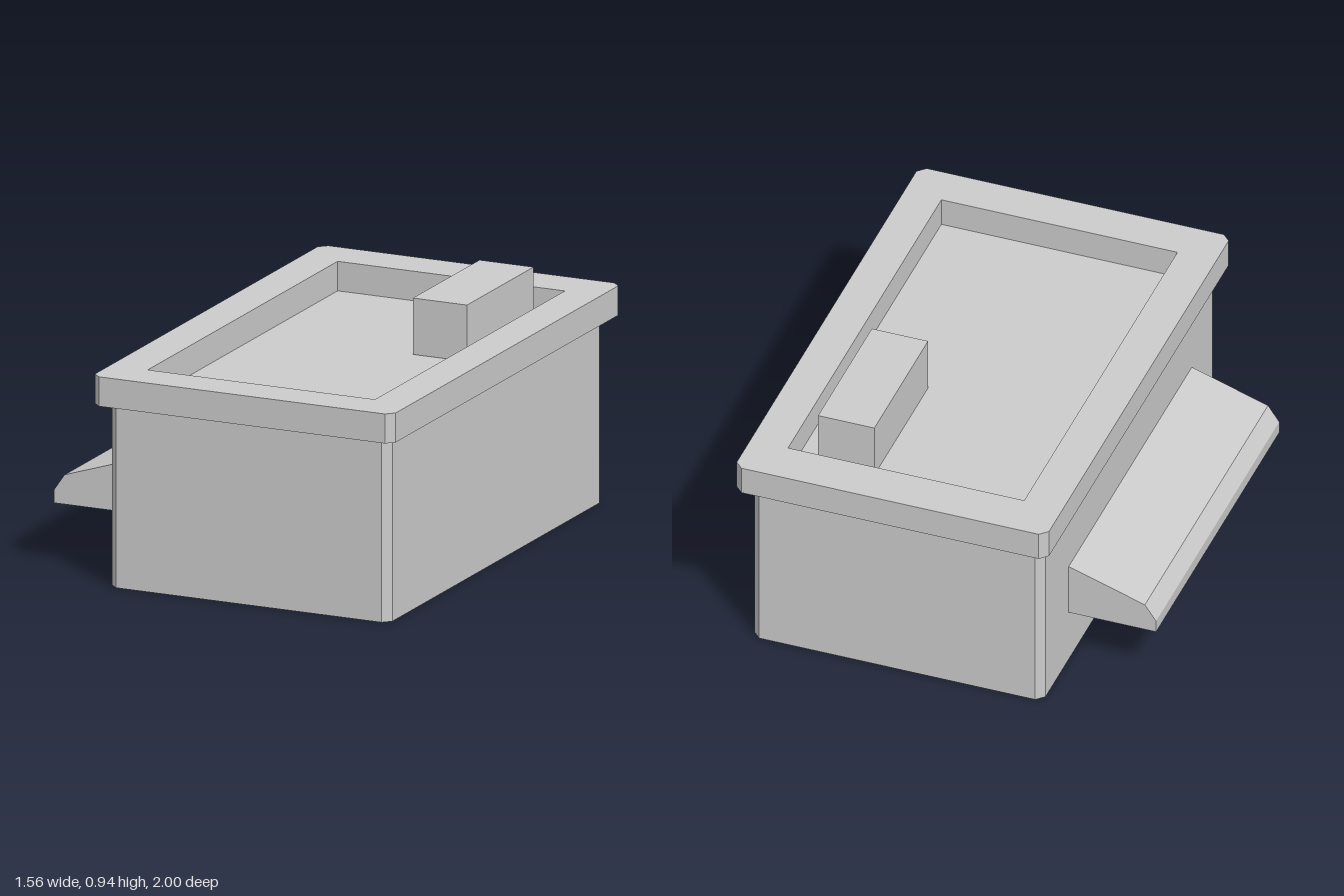
import * as THREE from 'three';

const material = new THREE.MeshStandardMaterial({ color: 0xcccccc, flatShading: true, side: THREE.DoubleSide });

// Rectangle with cut corners at height y, counter-clockwise seen from above
function loop(x0, x1, z0, z1, cut, y) {
  return [
    [x1, z1 - cut], [x1, z0 + cut], [x1 - cut, z0], [x0 + cut, z0],
    [x0, z0 + cut], [x0, z1 - cut], [x0 + cut, z1], [x1 - cut, z1],
  ].map(([x, z]) => new THREE.Vector3(x, y, z));
}

// Skin a list of cross-sections; zero-area triangles and the side "skip" are left out
function skin(sections, closed = true, skip = -1) {
  const points = [];
  const add = (...t) => { if (new THREE.Triangle(...t).getArea() > 1e-7) points.push(...t); };
  for (let s = 0; s < sections.length - 1; s++) {
    const a = sections[s], b = sections[s + 1], n = a.length;
    for (let i = 0; i < (closed ? n : n - 1); i++) {
      if (i === skip) continue;
      const j = (i + 1) % n;
      add(a[i], a[j], b[j]);
      add(a[i], b[j], b[i]);
    }
  }
  const geometry = new THREE.BufferGeometry().setFromPoints(points);
  geometry.computeVertexNormals();
  return geometry;
}

function rectangle(PathType, u0, u1, v0, v1) {
  return new PathType([[u0, v0], [u1, v0], [u1, v1], [u0, v1]].map(p => new THREE.Vector2(...p)));
}

export function createModel() {
  const model = new THREE.Group();
  const add = (name, geometry, parent = model) => {
    const mesh = new THREE.Mesh(geometry, material);
    mesh.name = name;
    parent.add(mesh);
    return mesh;
  };

  const rimY = 0.72, topY = 0.835, cut = 0.03;
  const body = [-0.43, 0.735, -0.93, 0.935];
  const lid = [-0.47, 0.78, -1, 1];
  const basin = [-0.315, 0.63, -0.82, 0.835];
  const shelfZ = [-0.65, 0.68], shelfY = [0.22, 0.435];

  // Thin walls, open underneath; the shelf side is a separate panel
  add('bodyWalls', skin([loop(...body, cut, 0), loop(...body, cut, rimY)], true, 4));

  // Shelf side panel with the slot leading into the hollow shelf
  const panel = rectangle(THREE.Shape, body[2] + cut, body[3] - cut, 0, rimY);
  panel.holes.push(rectangle(THREE.Path, ...shelfZ, ...shelfY));
  add('slottedWall', new THREE.ShapeGeometry(panel).rotateY(-Math.PI / 2).translate(body[0], 0, 0));

  // Overhanging rim folded down into the sunken basin
  add('rim', skin([
    loop(...body, cut, rimY), loop(...lid, cut, rimY), loop(...lid, cut, topY),
    loop(...basin, 0, topY), loop(...basin, 0, rimY),
  ]));
  const floor = new THREE.PlaneGeometry(basin[1] - basin[0], basin[3] - basin[2]).rotateX(-Math.PI / 2);
  add('basinFloor', floor.translate((basin[0] + basin[1]) / 2, rimY, (basin[2] + basin[3]) / 2));

  // Block standing on the basin floor
  add('topBlock', new THREE.BoxGeometry(0.225, 0.22, 0.58)).position.set(0.4325, 0.832, -0.435);

  // Hollow side shelf with sloped top
  const shelf = new THREE.Group();
  shelf.name = 'sideShelf';
  model.add(shelf);
  const profile = [[body[0], shelfY[1]], [-0.735, 0.335], [-0.78, 0.27], [-0.78, shelfY[0]], [body[0], shelfY[0]]];
  const sections = shelfZ.map(z => profile.map(([x, y]) => new THREE.Vector3(x, y, z)));
  add('shelfSkin', skin(sections, false), shelf);
  const endShape = new THREE.Shape(profile.map(p => new THREE.Vector2(...p)));
  for (const z of shelfZ) add('shelfEnd', new THREE.ShapeGeometry(endShape), shelf).position.z = z;

  return model;
}
